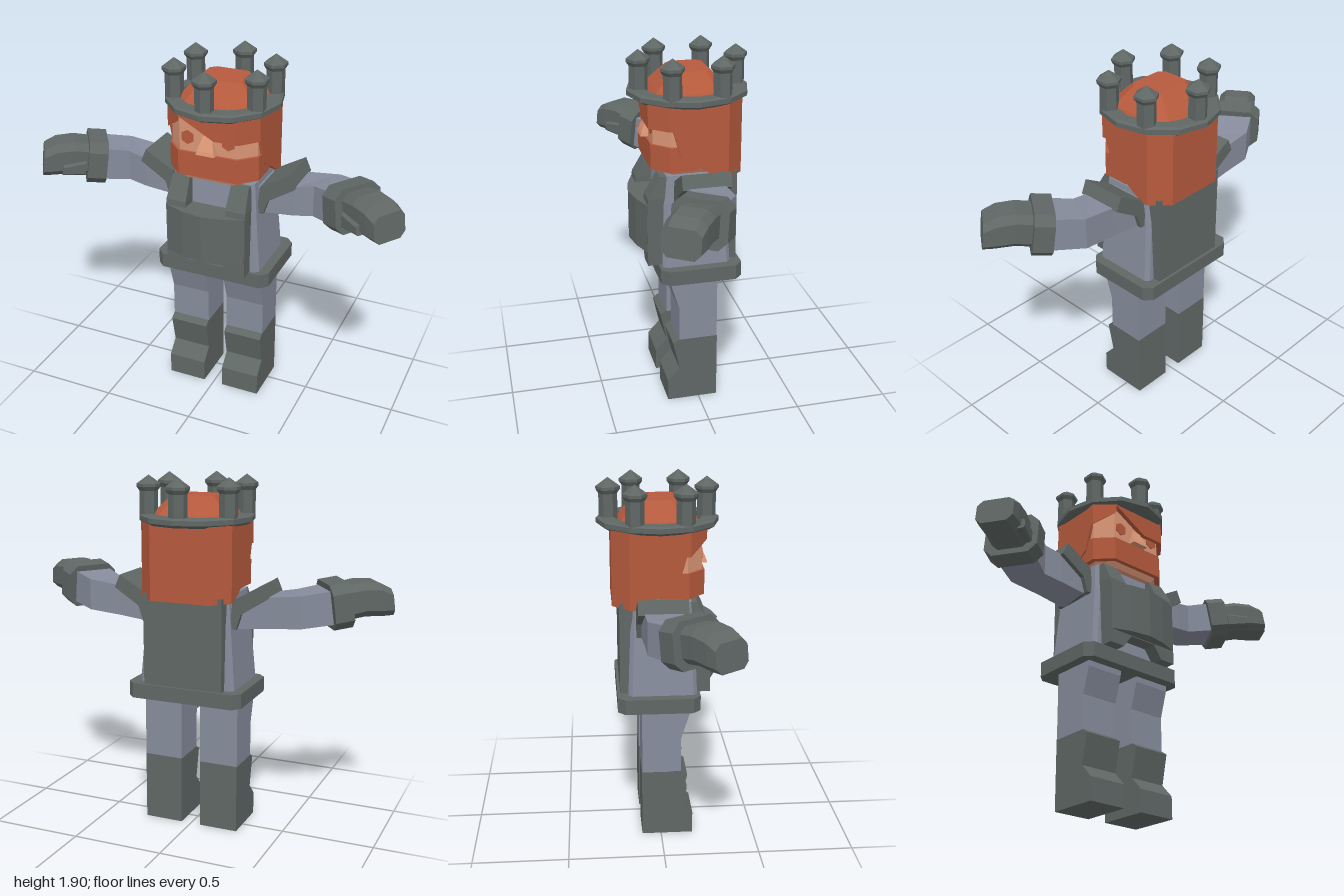
import * as THREE from 'three';

const mat = (name, color) => Object.assign(new THREE.MeshStandardMaterial({ color }), { name });

// Closed flat-faced solid through rings of [x, y, z] points; mirror flips it across x = 0
function loft(rings, matrix, mirror) {
  const n = rings[0].length, tris = [];
  const R = rings.map(r => r.map(p => {
    const v = new THREE.Vector3(...p);
    if (matrix) v.applyMatrix4(matrix);
    if (mirror) v.x *= -1;
    return v;
  }));
  for (let i = 0; i < R.length - 1; i++) {
    for (let j = 0; j < n; j++) {
      const k = (j + 1) % n;
      tris.push([R[i][j], R[i][k], R[i + 1][k]], [R[i][j], R[i + 1][k], R[i + 1][j]]);
    }
  }
  const last = R[R.length - 1];
  for (let j = 1; j < n - 1; j++) tris.push([R[0][0], R[0][j + 1], R[0][j]], [last[0], last[j], last[j + 1]]);
  // Signed volume decides the winding so every face looks outward
  const origin = R[0][0], a = new THREE.Vector3(), b = new THREE.Vector3(), c = new THREE.Vector3();
  let volume = 0;
  for (const t of tris) {
    a.subVectors(t[0], origin); b.subVectors(t[1], origin); c.subVectors(t[2], origin);
    volume += a.dot(b.cross(c));
  }
  const pts = [];
  for (const t of tris) {
    a.subVectors(t[1], t[0]); b.subVectors(t[2], t[0]);
    if (a.cross(b).length() > 1e-8) pts.push(...(volume < 0 ? [t[0], t[2], t[1]] : t));
  }
  const g = new THREE.BufferGeometry().setFromPoints(pts);
  g.computeVertexNormals();
  return g;
}

// Horizontal section with optional chamfered front and back corners
const level = (y, x0, x1, z0, z1, cf = 0, cb = 0) => [
  [x0, y, z0 + cb], [x0 + cb, y, z0], [x1 - cb, y, z0], [x1, y, z0 + cb],
  [x1, y, z1 - cf], [x1 - cf, y, z1], [x0 + cf, y, z1], [x0, y, z1 - cf]];

// Section across x, chamfered
const slice = (x, y0, y1, z0, z1, c = 0) => [
  [x, y0 + c, z0], [x, y0, z0 + c], [x, y0, z1 - c], [x, y0 + c, z1],
  [x, y1 - c, z1], [x, y1, z1 - c], [x, y1, z0 + c], [x, y1 - c, z0]];

export function createModel() {
  const model = new THREE.Group();
  model.name = 'towerCrownFigure';
  const armor = mat('stone grey', 0x5f6765);
  const cloth = mat('blue grey cloth', 0x868c9c);
  const hair = mat('red hair', 0xb65a3d);
  const skin = mat('skin', 0xdb9676);

  const add = (name, geometry, material) => {
    const m = new THREE.Mesh(geometry, material);
    m.name = name;
    model.add(m);
    return m;
  };
  const solid = (name, material, rings) => add(name, loft(rings), material);
  const pair = (name, material, rings, matrix) => {
    add('left' + name, loft(rings, matrix, false), material);
    add('right' + name, loft(rings, matrix, true), material);
  };

  // Legs and boots
  pair('Leg', cloth, [[0.37, 0.105], [0.56, 0.105], [0.70, 0.148], [0.76, 0.15]]
    .map(([y, z]) => level(y, 0.055, 0.268, -0.1, z)));
  pair('Boot', armor, [[0, 0.17, 0.02], [0.12, 0.17, 0.02], [0.19, 0.105, 0], [0.35, 0.14, 0], [0.372, 0.11, 0]]
    .map(([y, z, inset]) => {
      const r = level(y, 0.055, 0.268, -0.102, z);
      r[5][0] -= inset; r[6][0] += inset;
      return r;
    }));
  solid('crotch', cloth, [level(0.67, -0.035, 0.035, -0.1, 0), level(0.76, -0.035, 0.035, -0.13, 0.03)]);

  // Belt, torso and back plate
  solid('belt', armor, [level(0.73, -0.32, 0.32, -0.225, 0.205, 0.04, 0.04), level(0.81, -0.32, 0.32, -0.225, 0.205, 0.04, 0.04)]);
  solid('torso', cloth, [level(0.79, -0.27, 0.27, -0.17, 0.19, 0.02, 0.02), level(1.15, -0.24, 0.24, -0.155, 0.175, 0.02, 0.02),
    level(1.30, -0.225, 0.225, -0.145, 0.16, 0.02, 0.02)]);
  solid('backPlate', armor, [level(0.80, -0.22, 0.22, -0.21, -0.15), level(1.30, -0.22, 0.22, -0.21, -0.14)]);

  // Breast plate with a notch above the belt
  const bib = new THREE.Shape([[-0.22, 0.81], [-0.13, 0.81], [-0.08, 0.88], [0.08, 0.88], [0.13, 0.81], [0.22, 0.81], [0.22, 1.15], [-0.22, 1.15]]
    .map(p => new THREE.Vector2(...p)));
  const bibGeometry = new THREE.ExtrudeGeometry(bib, { depth: 0.09, bevelEnabled: false });
  bibGeometry.translate(0, 0, 0.17);
  add('breastPlate', bibGeometry, armor);
  const curve = y => [[-0.215, 0.25], [-0.215, 0.262], [-0.11, 0.3], [0, 0.318], [0.11, 0.3], [0.215, 0.262], [0.215, 0.25]]
    .map(([x, z]) => [x, y, z]);
  solid('breastPanel', armor, [curve(0.885), curve(1.15)]);
  pair('ChestStrap', armor, [level(1.14, 0.11, 0.22, 0.15, 0.26), level(1.18, 0.11, 0.22, 0.14, 0.255),
    level(1.295, 0.115, 0.21, 0.08, 0.19)]);

  // Shoulder guards
  pair('ShoulderGuard', armor, [[0.40, 1.37, 0.43, 1.30], [0.245, 1.28, 0.29, 1.21], [0.23, 1.13, 0.265, 1.13]]
    .map(([xa, ya, xb, yb]) => [[xa, ya, -0.125], [xa, ya, 0.125], [xb, yb, 0.125], [xb, yb, -0.125]]));

  // Arms bend forward at the elbow: back x, z, front x, z, low y, high y
  pair('Arm', cloth, [[0.22, -0.1, 0.22, 0.1, 1.13, 1.27], [0.28, -0.1, 0.28, 0.1, 1.13, 1.27],
    [0.42, -0.092, 0.42, 0.1, 1.143, 1.305], [0.60, -0.09, 0.52, 0.09, 1.157, 1.325], [0.75, 0, 0.64, 0.175, 1.175, 1.35]]
    .map(([xb, zb, xf, zf, lo, hi]) => [[xb, lo, zb], [xf, lo, zf], [xf, hi, zf], [xb, hi, zb]]));

  // Cuffs and gloves share the forearm frame
  const forearm = new THREE.Matrix4().makeRotationFromEuler(new THREE.Euler(0, -0.6, 0.14)).setPosition(0.72, 1.265, 0.1);
  pair('Cuff', armor, [-0.05, 0.05].map(x => slice(x, -0.115, 0.118, -0.14, 0.14, 0.045)), forearm);
  pair('Glove', armor, [slice(0, -0.085, 0.09, -0.095, 0.095, 0.03), slice(0.13, -0.08, 0.098, -0.1, 0.1, 0.035),
    slice(0.22, -0.095, 0.08, -0.1, 0.1, 0.035), slice(0.28, -0.1, 0.04, -0.095, 0.095, 0.03)], forearm);
  pair('Thumb', armor, [slice(0.06, -0.07, 0.01, 0.05, 0.115, 0.01), slice(0.18, -0.075, -0.02, 0.05, 0.12, 0.01)], forearm);

  // Face
  solid('face', skin, [level(1.295, -0.2, 0.2, -0.1, 0.19, 0.07), level(1.35, -0.235, 0.235, -0.1, 0.215, 0.08),
    level(1.66, -0.235, 0.235, -0.1, 0.215, 0.08)]);
  solid('nose', skin, [level(1.46, -0.05, 0.05, 0.2, 0.255), level(1.48, -0.045, 0.045, 0.2, 0.25), level(1.55, -0.025, 0.025, 0.2, 0.22)]);
  for (const s of [-1, 1]) {
    const eye = new THREE.CylinderGeometry(0.038, 0.038, 0.006, 6);
    eye.rotateX(Math.PI / 2);
    eye.translate(s * 0.11, 1.53, 0.216);
    add(s > 0 ? 'leftEye' : 'rightEye', eye, hair);
  }

  // Hair, swept fringe, beard and crown of the head
  solid('hair', hair, [[1.27, -0.12], [1.4, 0.09], [1.54, 0.13], [1.67, 0.13]]
    .map(([y, z]) => level(y, -0.252, 0.252, -0.245, z, 0, 0.09)));
  solid('fringe', hair, [[-0.16, 1.65, 0.24], [0.04, 1.54, 0.24], [0.17, 1.54, 0.24], [0.252, 1.54, 0.15]]
    .map(([x, y, z]) => slice(x, y, 1.67, 0, z)));
  solid('temple', hair, [[-0.252, 1.54, 0.15], [-0.16, 1.61, 0.237]]
    .map(([x, y, z]) => slice(x, y, 1.67, 0, z)));
  solid('beard', hair, [1.325, 1.455].map(y => level(y, -0.245, 0.245, 0, 0.228, 0.085)));
  solid('scalp', hair, [level(1.65, -0.235, 0.235, -0.235, 0.235, 0.08, 0.08), level(1.71, -0.2, 0.2, -0.185, 0.185, 0.07, 0.07),
    level(1.8, -0.115, 0.115, -0.095, 0.095, 0.03, 0.03)]);

  // Crown band: a closed twelve-sided ring
  const band = new THREE.LatheGeometry([[0.235, 1.655], [0.29, 1.655], [0.316, 1.67], [0.316, 1.695], [0.30, 1.703], [0.235, 1.703], [0.235, 1.655]]
    .map(p => new THREE.Vector2(...p)), 12).toNonIndexed();
  band.scale(0.95, 1, 1);
  band.computeVertexNormals();
  add('crownBand', band, armor);

  // Six little towers with pointed roofs
  for (let i = 0; i < 6; i++) {
    const a = i * Math.PI / 3;
    const tower = new THREE.LatheGeometry([[0, 1.68], [0.048, 1.68], [0.048, 1.82], [0.062, 1.84], [0.062, 1.855], [0, 1.9]]
      .map(p => new THREE.Vector2(...p)), 6).toNonIndexed();
    tower.computeVertexNormals();
    tower.translate(0.255 * Math.sin(a), 0, 0.252 * Math.cos(a));
    add('crownTower' + (i + 1), tower, armor);
  }
  return model;
}
